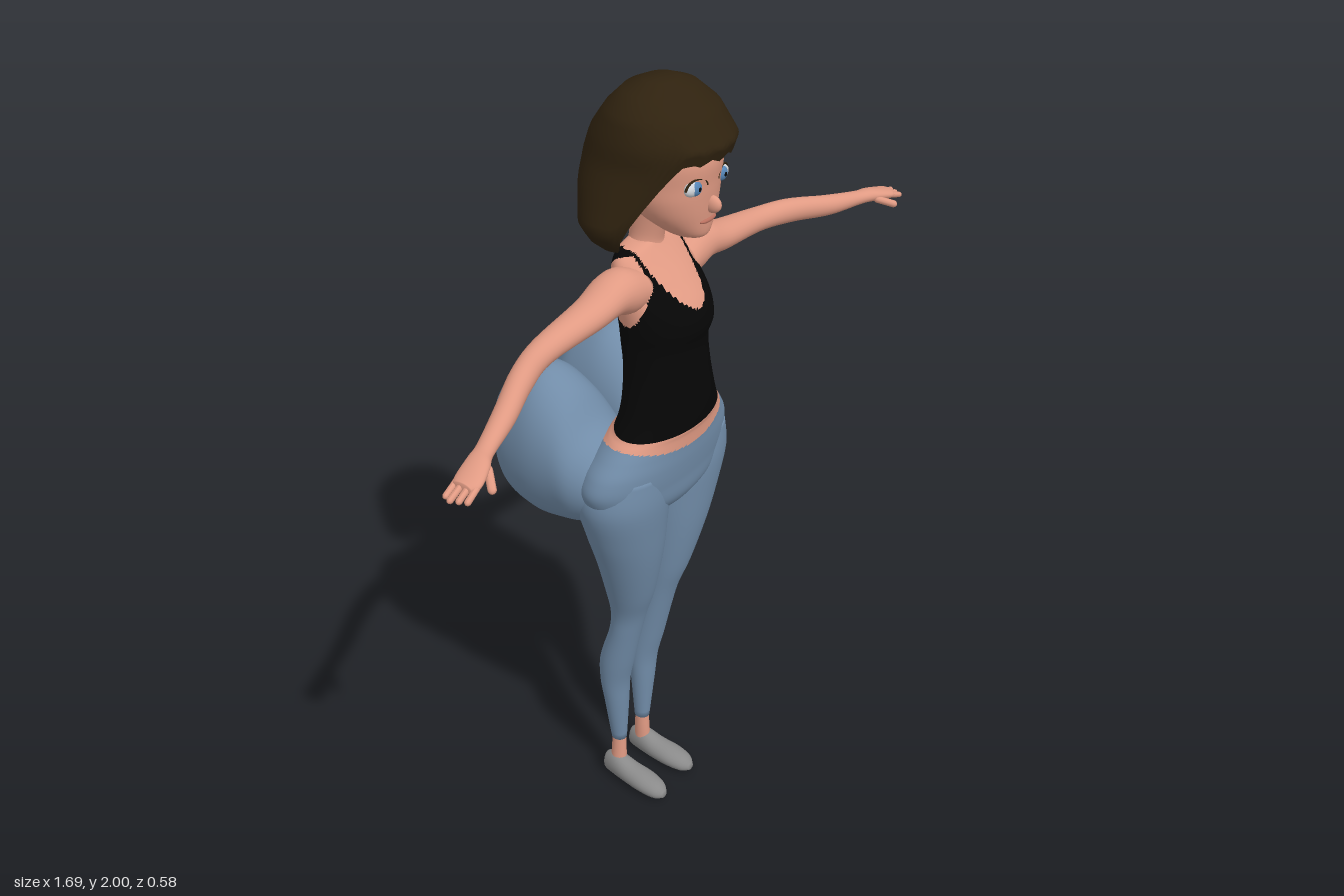
import * as THREE from 'three';

const mat = (name, color, side = THREE.FrontSide) => {
  const m = new THREE.MeshStandardMaterial({ color, side });
  m.name = name;
  return m;
};

// Joins closed rows of points into one smooth surface, with optional end caps.
function surface(rows, capped = true) {
  const n = rows[0].length, pos = [], index = [];
  rows.forEach(row => row.forEach(p => pos.push(...p)));
  for (let j = 0; j < rows.length - 1; j++) {
    for (let i = 0; i < n; i++) {
      const a = j * n + i, b = j * n + (i + 1) % n;
      index.push(a, b, b + n, a, b + n, a + n);
    }
  }
  if (capped) {
    [0, rows.length - 1].forEach(j => {
      const mid = [0, 1, 2].map(k => rows[j].reduce((s, p) => s + p[k], 0) / n);
      const c = pos.length / 3;
      pos.push(...mid);
      for (let i = 0; i < n; i++) {
        const a = j * n + i, b = j * n + (i + 1) % n;
        if (j === 0) index.push(c, b, a);
        else index.push(c, a, b);
      }
    });
  }
  const g = new THREE.BufferGeometry();
  g.setAttribute('position', new THREE.Float32BufferAttribute(pos, 3));
  g.setIndex(index);
  g.computeVertexNormals();
  return g;
}

const spline = (a, b, c, d, t) =>
  0.5 * (2 * b + (c - a) * t + (2 * a - 5 * b + 4 * c - d) * t * t + (3 * b - a - 3 * c + d) * t * t * t);

// Rings are [t, u0, u1, v0, v1]: position on the axis, then the extents across it.
// Axis y uses u = z, v = x; axis z uses u = x, v = y; axis x uses u = y, v = z.
function loft(axis, rings, sides = 32, steps = 5) {
  const rows = [], last = rings.length - 1;
  const at = i => rings[Math.min(last, Math.max(0, i))];
  for (let s = 0; s <= last * steps; s++) {
    const i = Math.min(last - 1, Math.floor(s / steps)), f = s / steps - i;
    const [t, u0, u1, v0, v1] = at(i).map((_, k) => spline(at(i - 1)[k], at(i)[k], at(i + 1)[k], at(i + 2)[k], f));
    const row = [];
    for (let k = 0; k < sides; k++) {
      const a = k / sides * Math.PI * 2;
      const u = (u0 + u1) / 2 + (u1 - u0) / 2 * Math.cos(a);
      const v = (v0 + v1) / 2 + (v1 - v0) / 2 * Math.sin(a);
      row.push(axis === 'y' ? [v, t, u] : axis === 'z' ? [u, v, t] : [t, u, v]);
    }
    rows.push(row);
  }
  return surface(rows);
}

// Mirrors a geometry across x and keeps its faces outward.
function mirrored(geo) {
  const g = geo.clone().scale(-1, 1, 1), ix = g.index.array;
  for (let i = 0; i < ix.length; i += 3) [ix[i], ix[i + 1]] = [ix[i + 1], ix[i]];
  g.computeVertexNormals();
  return g;
}

// Sorts faces into material groups by the position of their centres.
function paint(geo, count, rule) {
  const p = geo.attributes.position, ix = geo.index.array;
  const lists = Array.from({ length: count }, () => []);
  for (let i = 0; i < ix.length; i += 3) {
    const f = [ix[i], ix[i + 1], ix[i + 2]];
    const mid = get => f.reduce((s, k) => s + get.call(p, k), 0) / 3;
    lists[rule(mid(p.getX), mid(p.getY), mid(p.getZ))].push(...f);
  }
  geo.setIndex(lists.flat());
  let start = 0;
  lists.forEach((l, m) => { geo.addGroup(start, l.length, m); start += l.length; });
  return geo;
}

export function createModel() {
  const model = new THREE.Group();
  const skin = mat('skin', 0xe09a83), pants = mat('denim blue', 0x718ca8);
  const shirt = mat('black cloth', 0x060606), shoe = mat('shoe grey', 0x8a8a8a);
  const hair = mat('dark brown hair', 0x2f220f, THREE.DoubleSide);
  const white = mat('eye white', 0xcfd3d8), blue = mat('iris blue', 0x5585b5);
  const lip = mat('lip', 0xb8705f);
  const add = (name, geo, material, parent = model) => {
    const m = new THREE.Mesh(geo, material);
    m.name = name;
    parent.add(m);
    return m;
  };
  const pair = (name, geo, material) => {
    add('left' + name, geo, material);
    add('right' + name, mirrored(geo), material);
  };

  // Torso: trousers, bare waist and sleeveless top on one surface
  const torso = loft('y', [
    [0.925, 0, 0.06, 0.03], [0.95, -0.02, 0.13, 0.12], [1.0, -0.04, 0.172, 0.215],
    [1.06, -0.05, 0.182, 0.255], [1.11, -0.04, 0.188, 0.246], [1.15, -0.02, 0.19, 0.215],
    [1.18, 0, 0.192, 0.185], [1.2, 0.01, 0.196, 0.165], [1.25, 0.015, 0.197, 0.14],
    [1.33, 0.01, 0.192, 0.118], [1.4, 0, 0.187, 0.114], [1.45, -0.006, 0.2, 0.12],
    [1.5, -0.014, 0.185, 0.124], [1.55, -0.015, 0.145, 0.124], [1.59, -0.01, 0.11, 0.12],
    [1.62, 0, 0.085, 0.1], [1.635, 0.01, 0.075, 0.045],
  ].map(([y, back, front, x]) => [y, back, front, -x, x]), 96, 8);
  const cloth = (x, y, z) => {
    if (y < 1.15 + 0.8 * x * x) return 1;
    const scoop = z > 0.03 && Math.hypot(x / 0.078, (y - 1.64) / 0.145) < 1;
    const armhole = Math.abs(x) > 0.085 && Math.hypot((z - 0.06) / 0.06, (y - 1.54) / 0.08) < 1;
    const nape = Math.abs(x) < 0.07 && y > 1.6;
    return y < 1.197 || scoop || armhole || nape ? 0 : 2;
  };
  add('torso', paint(torso, 3, cloth), [skin, pants, shirt]);

  // Buttocks, legs, ankles and shoes
  pair('Buttock', loft('z', [
    [-0.3, 0.095, 0.12, 1.07, 1.11], [-0.288, 0.06, 0.17, 1.01, 1.18], [-0.265, 0.04, 0.2, 0.965, 1.225],
    [-0.22, 0.018, 0.235, 0.92, 1.275], [-0.14, 0.01, 0.255, 0.9, 1.308], [-0.06, 0.008, 0.257, 0.91, 1.265],
    [0, 0.008, 0.255, 0.93, 1.19], [0.06, 0.02, 0.235, 0.96, 1.15], [0.1, 0.06, 0.19, 1.0, 1.1],
  ], 36), pants);
  pair('Leg', loft('y', [
    [0.143, -0.02, 0.022, 0.034, 0.074], [0.28, -0.033, 0.03, 0.025, 0.096], [0.36, -0.041, 0.035, 0.021, 0.108],
    [0.44, -0.038, 0.052, 0.02, 0.116], [0.55, -0.006, 0.075, 0.022, 0.117], [0.62, 0, 0.092, 0.02, 0.122],
    [0.7, -0.006, 0.118, 0.015, 0.146], [0.82, -0.015, 0.145, 0.008, 0.188], [0.92, -0.028, 0.16, 0.002, 0.224],
    [1.02, -0.04, 0.17, 0.002, 0.25], [1.1, -0.02, 0.165, 0.04, 0.23],
  ]), pants);
  pair('Ankle', loft('y', [
    [0.04, -0.022, 0.024, 0.038, 0.078], [0.1, -0.02, 0.022, 0.036, 0.074], [0.16, -0.017, 0.019, 0.037, 0.071],
  ], 20), skin);
  pair('Shoe', loft('z', [
    [-0.04, 0.05, 0.07, 0.015, 0.055], [-0.032, 0.042, 0.078, 0.006, 0.072], [0, 0.034, 0.087, 0.002, 0.084],
    [0.05, 0.029, 0.094, 0, 0.066], [0.1, 0.028, 0.098, 0, 0.056], [0.14, 0.037, 0.092, 0, 0.044],
    [0.16, 0.055, 0.075, 0.008, 0.026],
  ], 24), shoe);

  // Arms: the left one is carried a little higher and further forward
  const armRings = [
    [0.08, 1.5, 1.59, 0.02, 0.12], [0.13, 1.5, 1.61, 0.012, 0.12], [0.18, 1.515, 1.605, 0.014, 0.115],
    [0.25, 1.51, 1.582, 0.02, 0.108], [0.4, 1.495, 1.555, 0.025, 0.088], [0.5, 1.483, 1.543, 0.05, 0.11],
    [0.6, 1.468, 1.52, 0.09, 0.145], [0.7, 1.46, 1.495, 0.128, 0.172], [0.74, 1.457, 1.489, 0.137, 0.195],
    [0.785, 1.447, 1.475, 0.145, 0.21], [0.805, 1.447, 1.468, 0.155, 0.2],
  ];
  const fingers = [0, 1, 2, 3].map(i =>
    [[0.78, 1.462, 0.153 + i * 0.016], [0.84 - Math.abs(i - 1) * 0.007, 1.445, 0.16 + i * 0.016], 0.007]);
  fingers.push([[0.735, 1.468, 0.185], [0.77, 1.447, 0.224], 0.009]);
  for (const side of [1, -1]) {
    const arm = new THREE.Group();
    arm.name = side > 0 ? 'leftArm' : 'rightArm';
    model.add(arm);
    const dy = x => side > 0 ? 0.034 * Math.max(0, (x - 0.35) / 0.4) : 0;
    const dz = x => side > 0 ? 0.05 * Math.min(1, Math.max(0, (x - 0.15) / 0.45)) : 0;
    const place = geo => side > 0 ? geo : mirrored(geo);
    add('arm', place(loft('x', armRings.map(([x, y0, y1, z0, z1]) =>
      [x, y0 + dy(x), y1 + dy(x), z0 + dz(x), z1 + dz(x)]), 28)), skin, arm);
    for (const [from, to, r] of fingers) {
      const [a, b] = [from, to].map(([x, y, z]) => new THREE.Vector3(x, y + dy(x), z + dz(x)));
      const dir = b.clone().sub(a), mid = a.clone().add(b).multiplyScalar(0.5);
      const q = new THREE.Quaternion().setFromUnitVectors(new THREE.Vector3(0, 1, 0), dir.clone().normalize());
      const geo = new THREE.CapsuleGeometry(r, dir.length() - r, 4, 10).applyQuaternion(q);
      add('finger', place(geo.translate(mid.x, mid.y, mid.z)), skin, arm);
    }
  }

  // Neck and head
  add('neck', loft('y', [
    [1.57, -0.005, 0.1, -0.075, 0.075], [1.615, 0, 0.083, -0.048, 0.048],
    [1.65, 0.003, 0.085, -0.038, 0.038], [1.73, 0.01, 0.11, -0.042, 0.042],
  ]), skin);
  add('head', loft('y', [
    [1.667, 0.13, 0.185, 0.018], [1.68, 0.09, 0.2, 0.046], [1.72, 0.03, 0.206, 0.085],
    [1.76, 0, 0.21, 0.104], [1.8, -0.02, 0.213, 0.11], [1.86, -0.03, 0.215, 0.114],
    [1.93, -0.01, 0.18, 0.1], [1.965, 0.04, 0.12, 0.05],
  ].map(([y, back, front, x]) => [y, back, front, -x, x]), 40), skin);

  // Face
  const ball = (x, y, z, rx, ry, rz) => new THREE.SphereGeometry(1, 24, 16).scale(rx, ry, rz).translate(x, y, z);
  add('nose', ball(0, 1.75, 0.21, 0.013, 0.02, 0.023), skin);
  add('mouth', ball(0, 1.714, 0.2, 0.03, 0.007, 0.01), lip);
  pair('Eye', ball(0.05, 1.8, 0.194, 0.03, 0.018, 0.014), white);
  pair('Iris', ball(0.05, 1.8, 0.2, 0.017, 0.016, 0.011), blue);
  pair('Pupil', ball(0.05, 1.8, 0.207, 0.006, 0.006, 0.006), shirt);
  pair('Lash', new THREE.TorusGeometry(0.03, 0.003, 6, 20, Math.PI).scale(1, 0.65, 1)
    .rotateY(0.25).translate(0.05, 1.801, 0.202), hair);

  // Bobbed hair: a shell whose hem is high over the face and low at the sides and back
  const bob = [
    [1.645, 0.14, 0.12, -0.03], [1.67, 0.168, 0.14, -0.065], [1.705, 0.188, 0.16, -0.085],
    [1.78, 0.17, 0.2, -0.1], [1.84, 0.153, 0.228, -0.094], [1.89, 0.15, 0.245, -0.078],
    [1.945, 0.132, 0.2, -0.04], [1.985, 0.088, 0.15, 0], [2.0, 0.045, 0.11, 0.035],
  ];
  const hairAt = y => {
    let i = 0;
    while (i < bob.length - 2 && y > bob[i + 1][0]) i++;
    const f = (y - bob[i][0]) / (bob[i + 1][0] - bob[i][0]);
    return bob[i].map((v, k) => v + (bob[i + 1][k] - v) * f);
  };
  const rows = [];
  for (let j = 0; j <= 20; j++) {
    const row = [];
    for (let i = 0; i < 72; i++) {
      const a = i / 72 * Math.PI * 2, off = Math.min(a, Math.PI * 2 - a);
      const hem = 1.862 + 0.006 * Math.sin(a * 18) * (off < 0.6)
        - 0.212 * THREE.MathUtils.smoothstep(off, 0.66, 1.3);
      const [y, rx, zf, zb] = hairAt(hem + (2 - hem) * j / 20);
      row.push([rx * Math.sin(a), y, (zf + zb) / 2 + (zf - zb) / 2 * Math.cos(a)]);
    }
    rows.push(row);
  }
  add('hair', surface(rows, false), hair);
  add('crown', loft('y', [[1.985, 0.02, 0.13, -0.07, 0.07], [2.0, 0.035, 0.11, -0.045, 0.045]], 72, 1), hair);
  return model;
}
